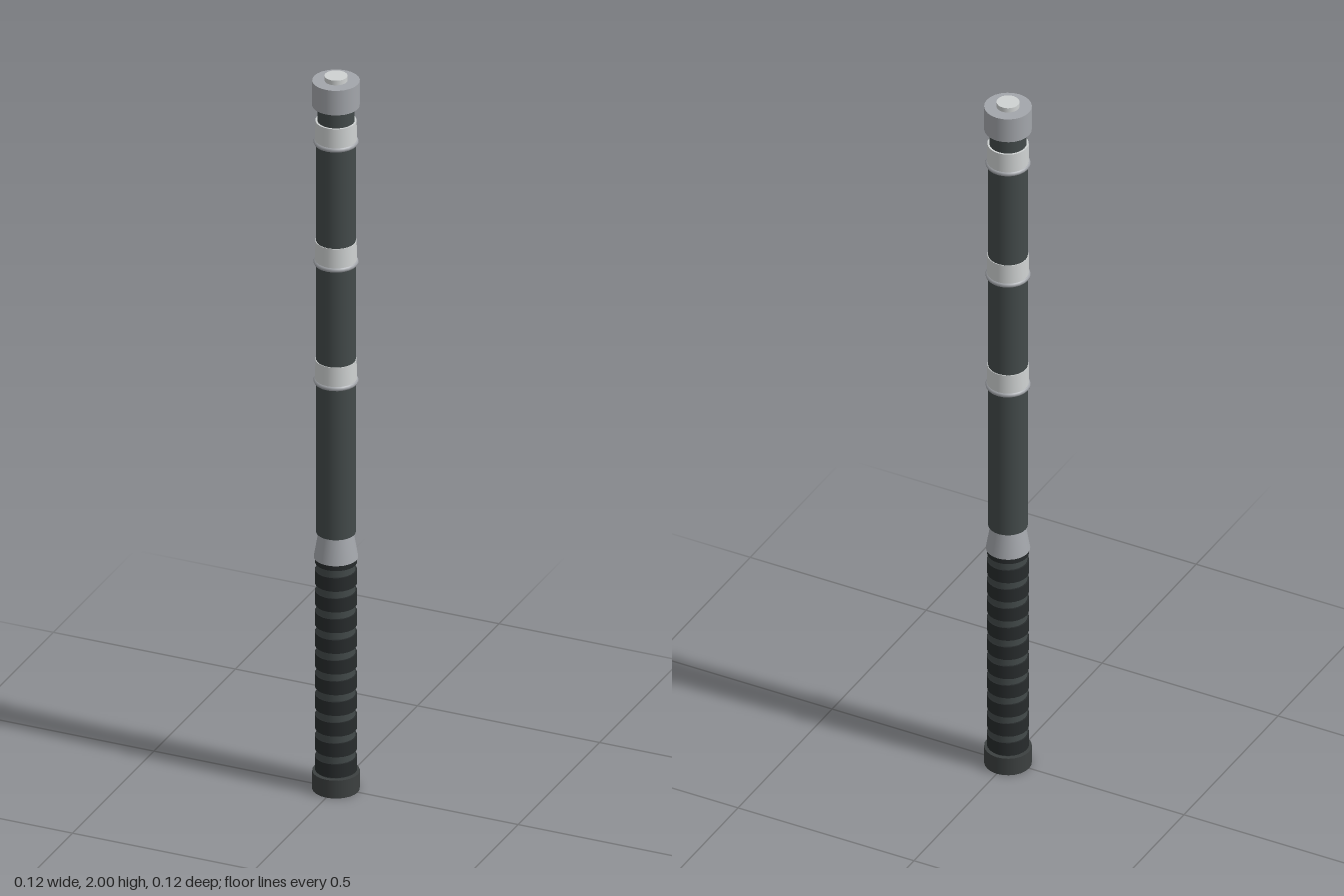
import * as THREE from 'three';

const material = (name, color) => {
  const m = new THREE.MeshStandardMaterial({ color });
  m.name = name;
  return m;
};

export function createModel() {
  const group = new THREE.Group();
  const shaftGrey = material('dark shaft grey', 0x434a4a);
  const wrapBlack = material('wrap black', 0x272b2c);
  const pommelGrey = material('pommel grey', 0x3c4040);
  const steel = material('steel', 0xa3a6ab);
  const silver = material('silver', 0xcfd2d2);

  // Upright round section between two heights
  const section = (name, mat, y0, y1, bottom, top = bottom) => {
    const mesh = new THREE.Mesh(new THREE.CylinderGeometry(top, bottom, y1 - y0, 24), mat);
    mesh.position.y = (y0 + y1) / 2;
    mesh.name = name;
    group.add(mesh);
  };

  // Handle: pommel, core and wrapped bands with grooves between
  section('pommel', pommelGrey, 0, 0.05, 0.06);
  section('gripCore', shaftGrey, 0.05, 0.65, 0.049);
  for (let i = 0; i < 11; i++) {
    const y = 0.073 + i * 0.0581;
    section('gripWrap', wrapBlack, y - 0.019, Math.min(y + 0.019, 0.65), 0.053);
  }

  // Tapered collar, shaft and narrower neck
  section('collar', steel, 0.65, 0.72, 0.056, 0.044);
  section('shaft', shaftGrey, 0.72, 1.85, 0.05);
  section('neck', shaftGrey, 1.85, 1.92, 0.047);

  // Bright bands, each with a rounded lip below
  for (const y of [1.138, 1.471, 1.808]) {
    section('band', silver, y + 0.008, y + 0.067, 0.053, 0.052);
    const lip = new THREE.Mesh(new THREE.TorusGeometry(0.05, 0.007, 8, 24), steel);
    lip.rotation.x = Math.PI / 2;
    lip.position.y = y + 0.008;
    lip.name = 'bandLip';
    group.add(lip);
  }

  // End cap and button
  section('endCap', steel, 1.918, 1.987, 0.06);
  section('endButton', silver, 1.987, 2, 0.029);

  return group;
}
